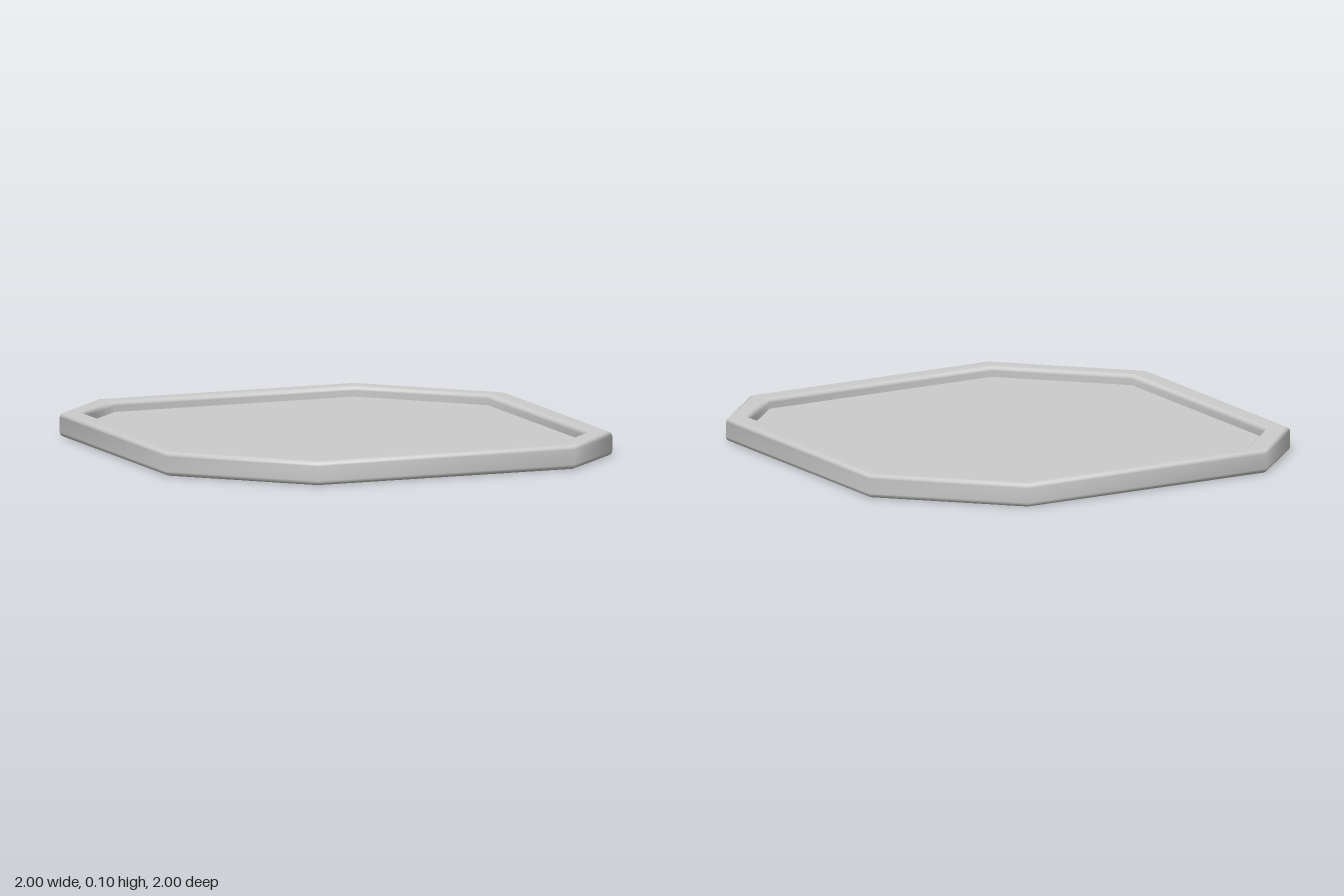
import * as THREE from 'three';

const HEIGHT = 0.105, RIM = 0.1, BEVEL = 0.02;

// Octagon corners as [x, z], moved inward by d; two opposite corners are cut deeper than the others.
function outline(d) {
  const h = 1 - d;
  const small = 1.7 - d * Math.SQRT2 - h; // corners cut by 0.3
  const large = 1.5 - d * Math.SQRT2 - h; // corners cut by 0.5
  const half = [[-small, -h], [large, -h], [h, -large], [h, small]];
  return [...half, ...half.map(([x, z]) => [-x, -z])];
}

// Rounded rectangle section as [inset, y], from the outer wall over the top and back underneath
function rimSection() {
  const points = [];
  const centres = [
    [BEVEL, HEIGHT - BEVEL], [RIM - BEVEL, HEIGHT - BEVEL],
    [RIM - BEVEL, BEVEL], [BEVEL, BEVEL],
  ];
  centres.forEach(([d, y], corner) => {
    for (let k = 0; k <= 4; k++) {
      const a = Math.PI - (corner + k / 4) * Math.PI / 2;
      points.push([d + Math.cos(a) * BEVEL, y + Math.sin(a) * BEVEL]);
    }
  });
  return points;
}

// Sweep the section around the octagon with mitred corners and shared vertices
function rimGeometry() {
  const section = rimSection(), positions = [], index = [];
  const n = section.length, sides = 8;
  for (const [d, y] of section) {
    for (const [x, z] of outline(d)) positions.push(x, y, z);
  }
  for (let j = 0; j < n; j++) {
    for (let i = 0; i < sides; i++) {
      const i2 = (i + 1) % sides, j2 = (j + 1) % n;
      const a = j * sides + i, b = j2 * sides + i;
      const c = j * sides + i2, e = j2 * sides + i2;
      index.push(a, b, c, b, e, c);
    }
  }
  const geometry = new THREE.BufferGeometry();
  geometry.setAttribute('position', new THREE.Float32BufferAttribute(positions, 3));
  geometry.setIndex(index);
  geometry.computeVertexNormals();
  return geometry;
}

export function createModel() {
  const group = new THREE.Group();
  group.name = 'octagonalTray';

  const grey = new THREE.MeshStandardMaterial({ color: 0xcccccc });
  grey.name = 'light grey';

  // Raised rim
  const rim = new THREE.Mesh(rimGeometry(), grey);
  rim.name = 'rim';
  group.add(rim);

  // Thin panel at mid height, tucked slightly into the rim
  const shape = new THREE.Shape(outline(RIM - 0.005).map(([x, z]) => new THREE.Vector2(x, -z)));
  const thickness = 0.012;
  const panelGeometry = new THREE.ExtrudeGeometry(shape, { depth: thickness, bevelEnabled: false });
  panelGeometry.rotateX(-Math.PI / 2);
  const panel = new THREE.Mesh(panelGeometry, grey);
  panel.position.y = (HEIGHT - thickness) / 2;
  panel.name = 'panel';
  group.add(panel);

  return group;
}
